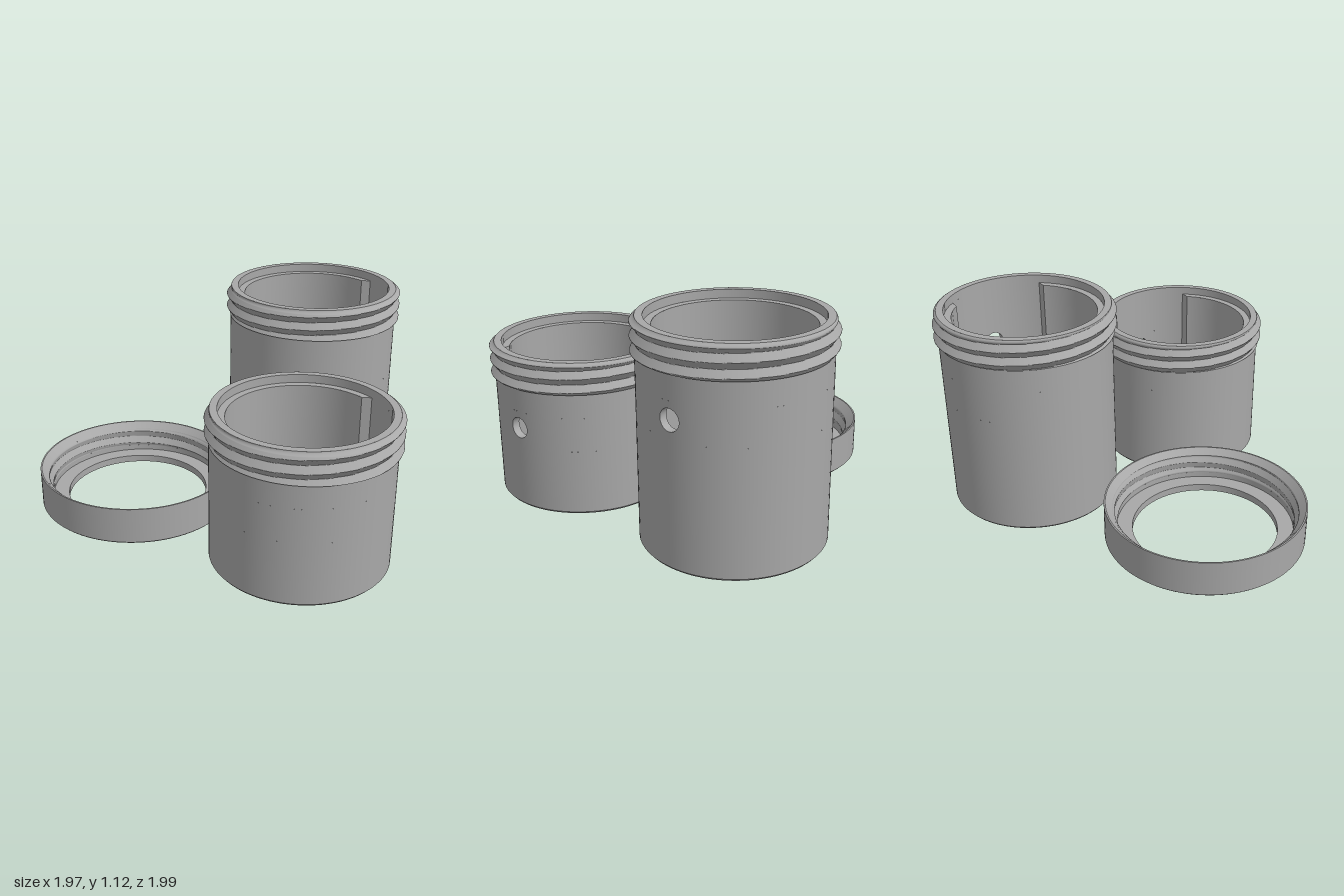
import * as THREE from 'three';
import { ParametricGeometry } from 'three/addons/geometries/ParametricGeometry.js';
import { mergeGeometries } from 'three/addons/utils/BufferGeometryUtils.js';

const PI = Math.PI;
const lerp = THREE.MathUtils.lerp;
const PITCH = 0.07;

// Grid surface from a rule fn(u, v) -> [x, y, z]
const grid = (fn, nu, nv = 1) =>
  new ParametricGeometry((u, v, p) => p.set(...fn(u, v)), nu, nv);

const polar = (r, a, y) => [r * Math.cos(a), y, -r * Math.sin(a)];

// Conical, cylindrical or flat band between two profile points [radius, height]
const band = ([r0, y0], [r1, y1], a0 = -PI, a1 = PI) =>
  grid((u, v) => polar(lerp(r0, r1, v), lerp(a0, a1, u), lerp(y0, y1, v)),
    Math.max(4, Math.ceil((a1 - a0) * 16)));

// Chain of crisp bands through a profile
const turned = (points) =>
  mergeGeometries(points.slice(1).map((p, i) => band(points[i], p)));

// Ridge height (0..1) of a right-handed screw thread
function ridge(a, y) {
  const t = y / PITCH - a / (2 * PI);
  return Math.abs((t - Math.floor(t)) * 2 - 1);
}

function disc(r, y, up) {
  return new THREE.CircleGeometry(r, 96).rotateX(up ? -PI / 2 : PI / 2).translate(0, y, 0);
}

const HOLE = 0.055, PATCH = 0.09;

// Curved wall with a square gap left for the hole patch at +x
function gappedWall(r, y0, y1, a0, a1, holeY) {
  const s = Math.sign(y1 - y0) * PATCH;
  const g = Math.asin(PATCH / r);
  return [
    band([r, y0], [r, holeY - s], a0, a1),
    band([r, holeY - s], [r, holeY + s], a0, -g),
    band([r, holeY - s], [r, holeY + s], g, a1),
    band([r, holeY + s], [r, y1], a0, a1),
  ];
}

// Point on the wall of radius r: k = 0 on the hole edge, k = 1 on the square edge
function holePoint(r, u, k, holeY) {
  const c = Math.cos(2 * PI * u), s = Math.sin(2 * PI * u);
  const d = lerp(HOLE, PATCH / Math.max(Math.abs(c), Math.abs(s)), k);
  return [Math.sqrt(r * r - d * d * c * c), holeY + d * s, -d * c];
}

export function createModel() {
  const model = new THREE.Group();
  model.name = 'threadedContainers';
  const grey = new THREE.MeshStandardMaterial({ color: 0xa8a8a8, side: THREE.DoubleSide });
  grey.name = 'grey';

  const add = (group, name, geometries) => {
    const mesh = new THREE.Mesh(mergeGeometries(geometries), grey);
    mesh.name = name;
    group.add(mesh);
  };

  function jar(name, height, z) {
    const group = new THREE.Group();
    group.name = name;
    const R = 0.465, BORE = 0.385, POCKET = 0.423, HALF = 0.265;
    const neck = height - 0.163, ledge = height - 0.045, floor = 0.05;
    const holeY = height - 0.38;
    const b = Math.asin(HALF / POCKET), c = Math.asin(HALF / BORE);

    // Outer wall with bottom chamfer
    add(group, 'outerWall', [
      band([R - 0.01, 0], [R, 0.012]),
      ...gappedWall(R, 0.012, neck, -PI, PI, holeY),
    ]);
    add(group, 'base', [disc(R - 0.01, 0, false)]);

    // Screw thread, fading out at the rim
    const threadR = (a, y) =>
      0.461 + 0.026 * ridge(a, y - neck - 0.008 + PITCH / 2 + PITCH / 2)
        * Math.min(1, (height - y) / 0.018);
    add(group, 'screwThread', [
      grid((u, v) => {
        const a = 2 * PI * u, y = lerp(neck, height, v);
        return polar(threadR(a, y), a, y);
      }, 128, 56),
      grid((u, v) => polar(lerp(0.45, threadR(2 * PI * u, neck), v), 2 * PI * u, neck), 128),
    ]);

    // Rim, shallow counterbore and ledge
    add(group, 'rim', [
      band([0.461, height], [POCKET, height]),
      band([POCKET, height], [POCKET, ledge]),
      grid((u, v) => polar(lerp(POCKET, BORE, v),
        lerp(lerp(b, c, v), 2 * PI - lerp(b, c, v), u), ledge), 96),
    ]);

    // Bore with a wider pocket on the +x side
    const xIn = BORE * Math.cos(c), xOut = POCKET * Math.cos(b);
    const step = (x0, x1, zs) =>
      grid((u, v) => [lerp(x0, x1, u), lerp(floor, ledge, v), zs], 1);
    add(group, 'innerWall', [
      band([BORE, ledge], [BORE, floor], c, 2 * PI - c),
      ...gappedWall(POCKET, ledge, floor, -b, b, holeY),
      step(xIn, xOut, -HALF),
      step(xOut, xIn, HALF),
    ]);
    add(group, 'innerFloor', [disc(POCKET, floor, true)]);

    // Round side hole through the wall
    add(group, 'sideHole', [
      grid((u, v) => holePoint(R, u, 1 - v, holeY), 48, 3),
      grid((u, v) => holePoint(lerp(R, POCKET, v), u, 0, holeY), 48),
      grid((u, v) => holePoint(POCKET, u, v, holeY), 48, 3),
    ]);

    group.position.set(0.492, 0, z);
    model.add(group);
  }

  jar('shortJar', 0.817, 0.51);
  jar('tallJar', 1.123, -0.51);

  // Open screw ring with an inward flange at the bottom
  const ring = new THREE.Group();
  ring.name = 'screwRing';
  const top = 0.17, low = 0.07;
  add(ring, 'ringBody', [
    turned([[0.39, 0], [0.532, 0], [0.54, 0.008], [0.54, 0.205], [0.532, 0.205], [0.497, top]]),
    turned([[0.475, low], [0.475, 0.04], [0.39, 0.04], [0.39, 0]]),
  ]);
  add(ring, 'innerThread', [
    grid((u, v) => {
      const a = 2 * PI * u, y = lerp(top, low, v);
      const fade = Math.min(1, (top - y) / 0.012, (y - low) / 0.012);
      return polar(lerp(0.497, 0.475, v) - 0.014 * fade * (ridge(a, y) - 0.3), a, y);
    }, 128, 40),
  ]);
  ring.position.set(-0.45, 0, 0);
  model.add(ring);

  return model;
}
